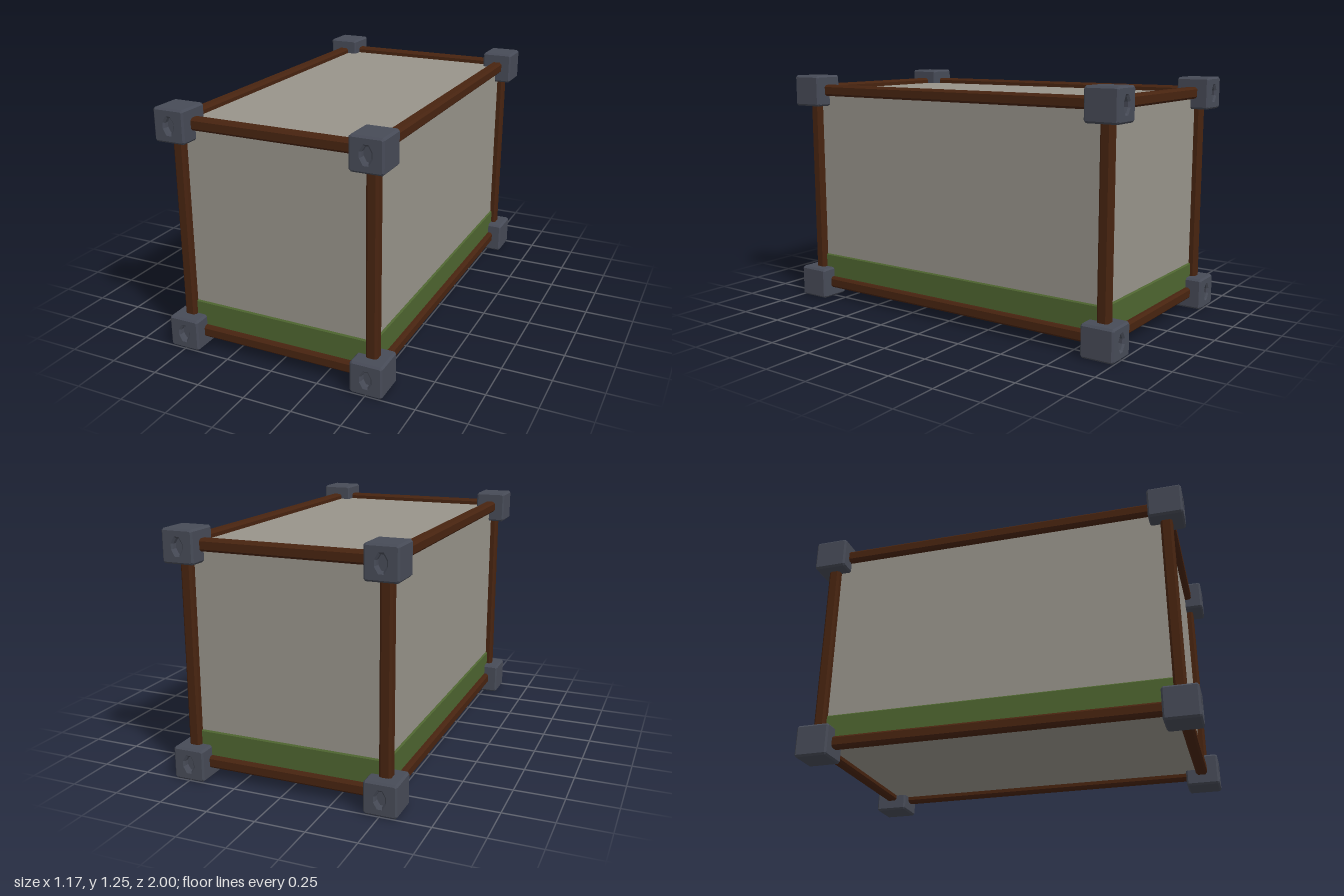
import * as THREE from 'three';

const mat = (name, color) => {
  const m = new THREE.MeshStandardMaterial({ color });
  m.name = name;
  return m;
};

// rectangle with cut corners, centred on the origin
function chamferedRect(w, h, cx, cy = cx, Kind = THREE.Shape) {
  const x = w / 2, y = h / 2;
  return new Kind([
    [x, y - cy], [x - cx, y], [-x + cx, y], [-x, y - cy],
    [-x, -y + cy], [-x + cx, -y], [x - cx, -y], [x, -y + cy],
  ].map(([a, b]) => new THREE.Vector2(a, b)));
}

// extrusion with one-step edge bevels, centred along z
function extrude(shape, depth, bevel = 0) {
  const g = new THREE.ExtrudeGeometry(shape, {
    depth: depth - 2 * bevel, bevelEnabled: bevel > 0, bevelSegments: 1,
    bevelSize: bevel, bevelThickness: bevel, bevelOffset: -bevel,
  });
  return g.translate(0, 0, -depth / 2 + bevel);
}

export function createModel() {
  const group = new THREE.Group();
  const slate = mat('slate', 0x474b57);
  const wood = mat('darkWood', 0x482410);
  const glass = mat('greyGlass', 0x98948b);
  const moss = mat('mossGreen', 0x4e6530);

  const X = 0.502, Z = 0.91, LOW = 0.084, HIGH = 1.17;
  const add = (name, geo, material, x, y, z) => {
    const m = new THREE.Mesh(geo, material);
    m.name = name;
    m.position.set(x, y, z);
    group.add(m);
    return m;
  };

  // enclosure panels
  add('panels', new THREE.BoxGeometry(2 * X - 0.01, HIGH - LOW, 2 * Z - 0.01), glass, 0, (LOW + HIGH) / 2, 0);

  // ground layer standing slightly proud of the panels
  const ground = extrude(chamferedRect(2 * X + 0.008, 2 * Z + 0.008, 0.01), 0.145, 0.006);
  add('groundLayer', ground.rotateX(-Math.PI / 2), moss, 0, 0.1665, 0);

  // frame bars with chamfered edges
  const bar = (length) => extrude(chamferedRect(0.06, 0.06, 0.011), length);
  const barX = bar(2 * X - 0.1).rotateY(Math.PI / 2);
  const barY = bar(HIGH - LOW - 0.1).rotateX(Math.PI / 2);
  const barZ = bar(2 * Z - 0.1);
  for (const s of [-1, 1]) {
    for (const y of [LOW, HIGH]) {
      add('crossBar', barX, wood, 0, y, s * Z);
      add('sideBar', barZ, wood, s * X, y, 0);
    }
    for (const z of [-Z, Z]) add('post', barY, wood, s * X, (LOW + HIGH) / 2, z);
  }

  // corner blocks with an eight-sided socket in the end face
  const size = 0.166, depth = 0.174;
  const face = chamferedRect(size, size, 0.01);
  face.holes.push(chamferedRect(0.046, 0.076, 0.015, 0.026, THREE.Path));
  const block = extrude(face, depth, 0.009);
  const core = new THREE.BoxGeometry(0.1, 0.12, depth - 0.03).translate(0, 0, -0.015);
  for (const x of [-X, X]) for (const y of [size / 2, 1.25 - size / 2]) for (const s of [-1, 1]) {
    const z = s * (1 - depth / 2);
    const turn = s > 0 ? 0 : Math.PI;
    add('cornerBlock', block, slate, x, y, z).rotation.y = turn;
    add('socketFloor', core, slate, x, y, z).rotation.y = turn;
  }
  return group;
}
